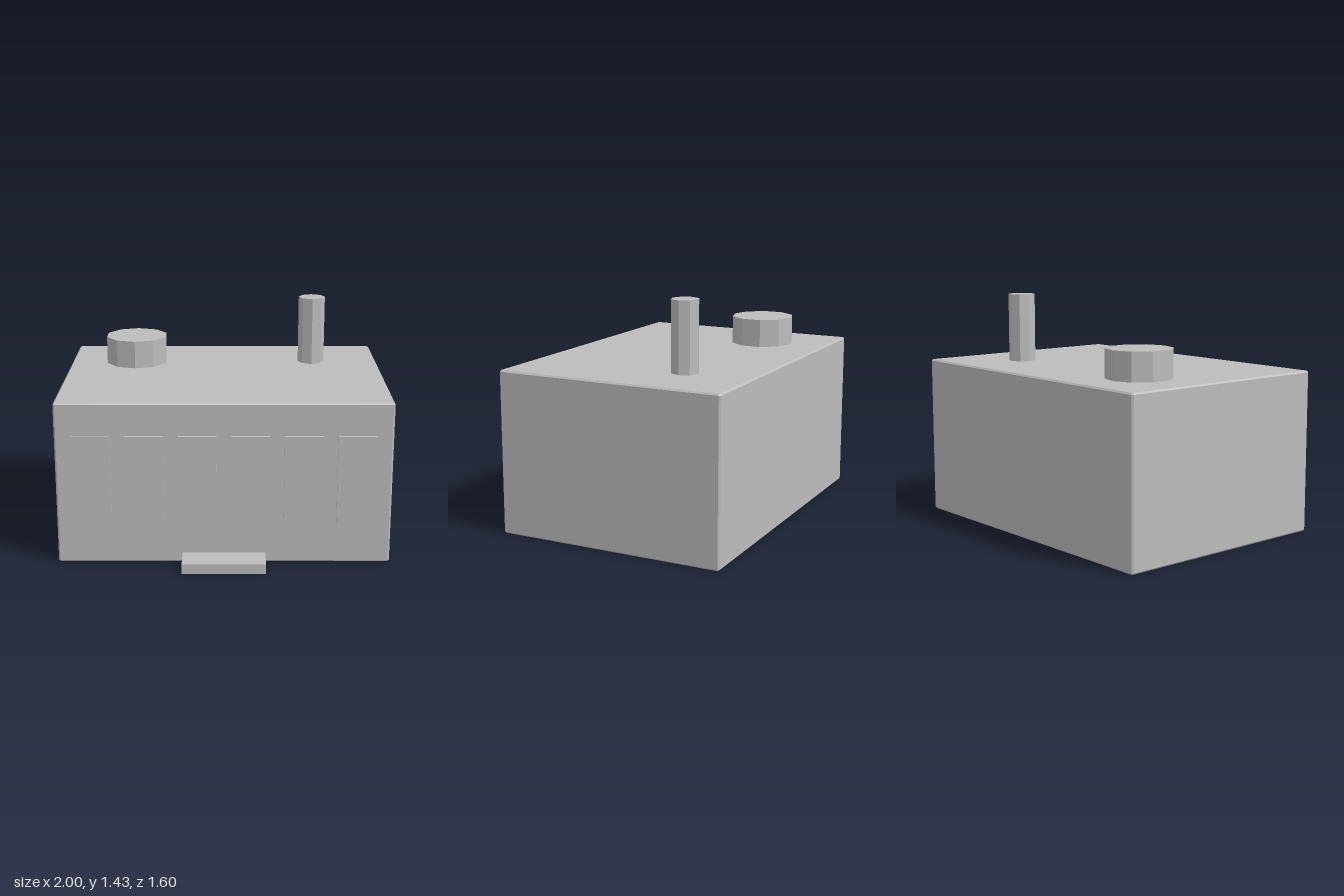
import * as THREE from 'three';
import { ConvexGeometry } from 'three/addons/geometries/ConvexGeometry.js';

// Box with narrow 45 degree chamfers on every edge
function chamferBox(w, h, d, c) {
  const points = [];
  for (const sx of [-1, 1]) for (const sy of [-1, 1]) for (const sz of [-1, 1]) {
    for (const [a, b, e] of [[0, c, c], [c, 0, c], [c, c, 0]]) {
      points.push(new THREE.Vector3(sx * (w / 2 - a), sy * (h / 2 - b), sz * (d / 2 - e)));
    }
  }
  return new ConvexGeometry(points);
}

export function createModel() {
  const model = new THREE.Group();
  model.name = 'building';

  const grey = new THREE.MeshStandardMaterial({ color: 0xbcbcbc });
  grey.name = 'plain grey';
  grey.flatShading = true;

  function add(name, geometry, x, y, z) {
    const mesh = new THREE.Mesh(geometry, grey);
    mesh.name = name;
    mesh.position.set(x, y, z);
    model.add(mesh);
  }

  // Main block
  add('body', chamferBox(2, 1, 1.425, 0.01), 0, 0.5, -0.0875);

  // Row of six raised window panels on the front wall
  const panel = new THREE.BoxGeometry(0.23, 0.54, 0.03);
  for (let i = 0; i < 6; i++) {
    add('windowPanel' + (i + 1), panel, (i - 2.5) * 0.315, 0.53, 0.623);
  }

  // Entrance step
  add('frontStep', new THREE.BoxGeometry(0.5, 0.06, 0.19), 0, 0.03, 0.705);

  // Roof fittings: squat ten-sided tank and tall eight-sided chimney
  add('roofTank', new THREE.CylinderGeometry(0.2, 0.2, 0.185, 10), -0.575, 1.0825, -0.375);
  add('chimney', new THREE.CylinderGeometry(0.085, 0.085, 0.44, 8), 0.57, 1.21, -0.375);

  return model;
}
